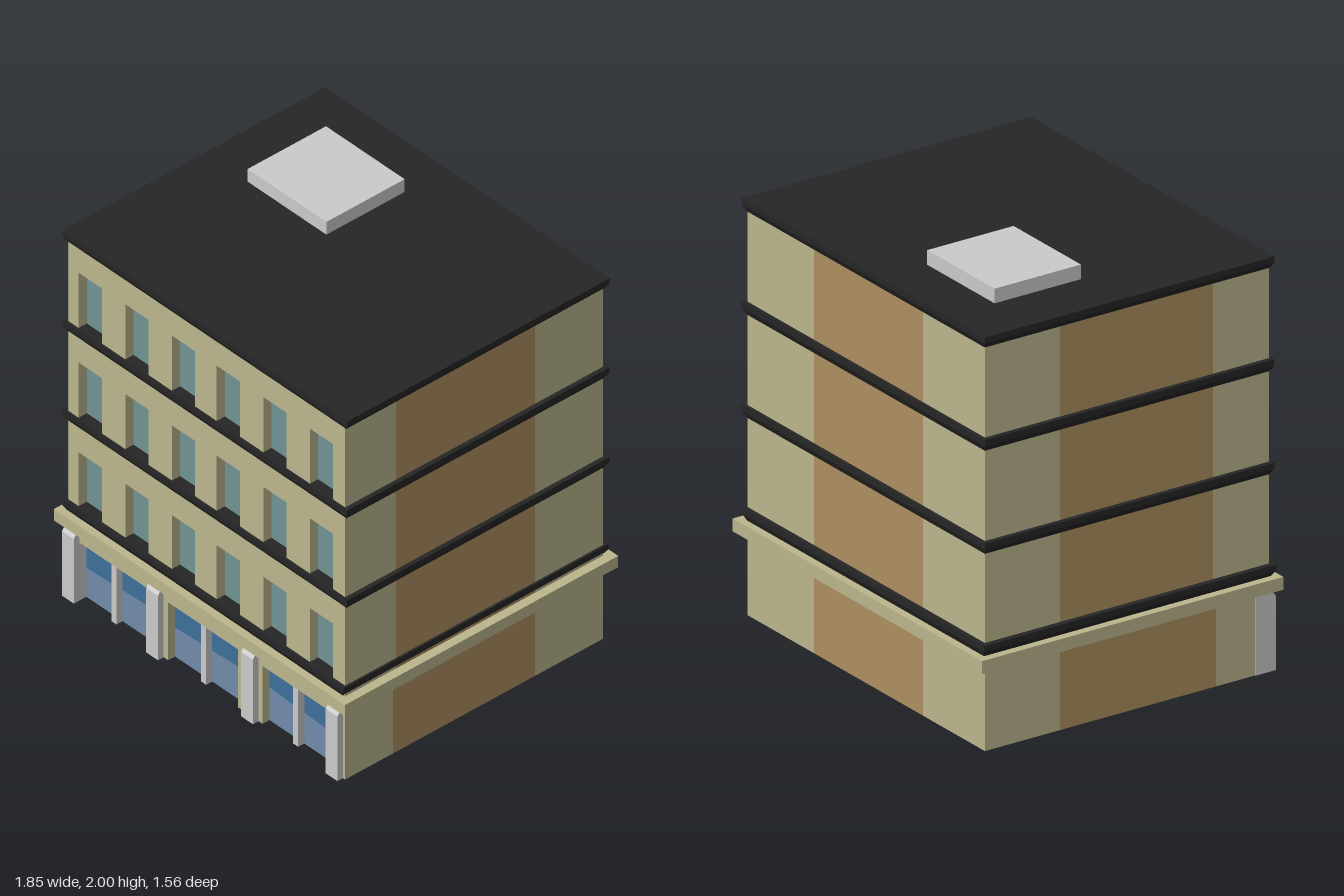
import * as THREE from 'three';

const mat = (name, color, side = THREE.FrontSide) => {
  const m = new THREE.MeshStandardMaterial({ color, side });
  m.name = name;
  return m;
};

export function createModel() {
  const building = new THREE.Group();
  building.name = 'building';

  const beige = mat('beige plaster', 0xbcb78e, THREE.DoubleSide);
  const tan = mat('tan panel', 0xae9060, THREE.DoubleSide);
  const dark = mat('dark cornice', 0x262627);
  const grey = mat('light grey', 0xcbcbcb);
  const windowGlass = mat('window glass', 0x729494);
  const upperGlass = mat('deep blue glass', 0x3f6f9b, THREE.DoubleSide);
  const lowerGlass = mat('pale blue glass', 0x728cab, THREE.DoubleSide);

  const add = (name, geo, material, x = 0, y = 0, z = 0, parent = building) => {
    const mesh = new THREE.Mesh(geo, material);
    mesh.name = name;
    mesh.position.set(x, y, z);
    parent.add(mesh);
    return mesh;
  };
  const box = (name, material, x0, x1, y0, y1, z0, z1) =>
    add(name, new THREE.BoxGeometry(x1 - x0, y1 - y0, z1 - z0), material,
      (x0 + x1) / 2, (y0 + y1) / 2, (z0 + z1) / 2);
  const polygon = (pts) => new THREE.Shape(pts.map(([x, y]) => new THREE.Vector2(x, y)));
  const rect = (x0, x1, y0, y1) => polygon([[x0, y0], [x1, y0], [x1, y1], [x0, y1]]);

  const W = 0.88, FRONT = 0.74, BACK = -0.735, DEPTH = 0.05;
  const LEDGE0 = 0.385, LEDGE1 = 0.445, TOP = 1.92;

  // Side and back walls: three vertical strips each, the middle one tan
  function wallStrips(y0, y1, bandFront) {
    const h = y1 - y0, y = (y0 + y1) / 2;
    const zs = [BACK, -0.345, bandFront, FRONT];
    const xs = [-W, -0.42, 0.39, W];
    for (let i = 0; i < 3; i++) {
      const material = i === 1 ? tan : beige;
      const dz = zs[i + 1] - zs[i], dx = xs[i + 1] - xs[i];
      for (const s of [-1, 1]) {
        add(s > 0 ? 'leftWall' : 'rightWall', new THREE.PlaneGeometry(dz, h), material,
          s * W, y, (zs[i] + zs[i + 1]) / 2).rotation.y = s * Math.PI / 2;
      }
      add('backWall', new THREE.PlaneGeometry(dx, h), material,
        (xs[i] + xs[i + 1]) / 2, y, BACK).rotation.y = Math.PI;
    }
  }
  wallStrips(0, LEDGE0, 0.465);
  wallStrips(LEDGE1, TOP, 0.448);

  // Upper front wall with recessed windows
  const facade = rect(-W + 0.001, W - 0.001, LEDGE1, TOP);
  const rows = [[0.49, 0.79], [0.965, 1.27], [1.445, 1.75]];
  const columns = [-0.74, -0.443, -0.147, 0.138, 0.434, 0.73];
  for (const [y0, y1] of rows) {
    for (const x of columns) {
      facade.holes.push(rect(x - 0.074, x + 0.074, y0, y1));
      add('window', new THREE.PlaneGeometry(0.16, y1 - y0 + 0.01), windowGlass,
        x, (y0 + y1) / 2, FRONT - DEPTH + 0.003);
    }
  }
  const extrude = { depth: DEPTH, bevelEnabled: false };
  add('upperFrontWall', new THREE.ExtrudeGeometry(facade, extrude), beige, 0, 0, FRONT - DEPTH);

  // Ground floor front wall, notched by three shop openings
  const shops = [[-0.81, -0.37, 1], [-0.245, 0.2, 1], [0.355, 0.79, -1]];
  const outline = [[-W + 0.001, 0]];
  for (const [x0, x1] of shops) outline.push([x0, 0], [x0, 0.31], [x1, 0.31], [x1, 0]);
  outline.push([W - 0.001, 0], [W - 0.001, LEDGE0], [-W + 0.001, LEDGE0]);
  add('shopFrontWall', new THREE.ExtrudeGeometry(polygon(outline), extrude), beige, 0, 0, FRONT - DEPTH);

  // Shop glass in two tones, divided by a slightly slanted line
  for (const [x0, x1, s] of shops) {
    const a = 0.165 - s * 0.01, b = 0.165 + s * 0.01;
    add('shopGlassUpper', new THREE.ShapeGeometry(
      polygon([[x0, a], [x1, b], [x1, 0.31], [x0, 0.31]])), upperGlass, 0, 0, FRONT - DEPTH + 0.01);
    add('shopGlassLower', new THREE.ShapeGeometry(
      polygon([[x0, 0], [x1, 0], [x1, b], [x0, a]])), lowerGlass, 0, 0, FRONT - DEPTH + 0.01);
  }

  // Pillars with chamfered heads, and slim mullions between panes
  const pillarProfile = polygon([[0.67, 0], [0.772, 0], [0.772, 0.345], [0.745, 0.385], [0.67, 0.385]]);
  for (const x of [-0.846, -0.311, 0.292, 0.829]) {
    const geo = new THREE.ExtrudeGeometry(pillarProfile, { depth: 0.075, bevelEnabled: false });
    geo.rotateY(-Math.PI / 2);
    add('pillar', geo, grey, x + 0.0375, 0, 0);
  }
  for (const x of [-0.595, -0.025, 0.56]) {
    box('mullion', grey, x - 0.016, x + 0.016, 0, 0.31, 0.67, 0.735);
  }

  // Ledge over the shops
  box('ledge', beige, -0.925, 0.925, LEDGE0, LEDGE1, -0.782, 0.782);

  // Cornices: slabs whose lower edge tapers inwards
  function cornice(name, y0, y1, width, depth, x) {
    const geo = new THREE.BoxGeometry(width, y1 - y0, depth, 1, 2, 1).toNonIndexed();
    const p = geo.attributes.position;
    for (let i = 0; i < p.count; i++) {
      if (p.getY(i) < -0.01) {
        p.setX(i, p.getX(i) - Math.sign(p.getX(i)) * 0.02);
        p.setZ(i, p.getZ(i) - Math.sign(p.getZ(i)) * 0.014);
      }
    }
    geo.computeVertexNormals();
    add(name, geo, dark, x, (y0 + y1) / 2, 0);
  }
  cornice('firstCornice', LEDGE1, 0.502, 1.797, 1.516, -0.008);
  cornice('secondCornice', 0.917, 0.975, 1.805, 1.502, 0);
  cornice('thirdCornice', 1.395, 1.455, 1.805, 1.502, 0);
  cornice('roofCornice', 1.875, 1.932, 1.807, 1.504, 0);

  // Rooftop plant box
  box('roofBox', grey, -0.63, -0.13, 1.93, 2, -0.51, -0.062);

  return building;
}
